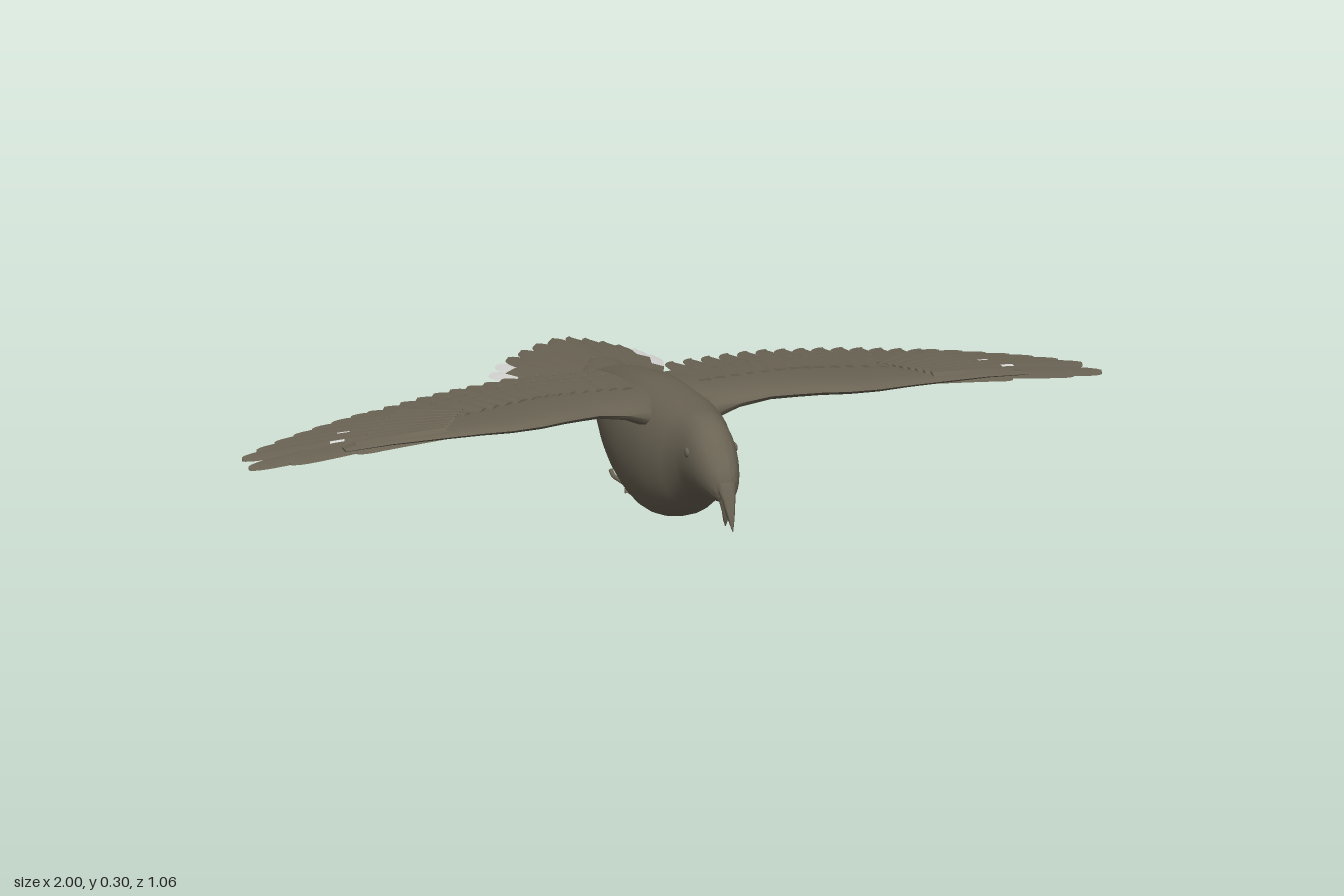
import * as THREE from 'three';
import { mergeGeometries, toCreasedNormals } from 'three/addons/utils/BufferGeometryUtils.js';

const plumage = new THREE.MeshStandardMaterial({ color: 0x6a6354 });
plumage.name = 'plumage brown';
const white = new THREE.MeshStandardMaterial({ color: 0xd6d6d4 });
white.name = 'feather white';

const V = (x, y, z) => new THREE.Vector3(x, y, z);
const lerp = THREE.MathUtils.lerp;

// Piecewise linear lookup in a table of [x, value]
function table(rows, x) {
  for (let i = 1; i < rows.length; i++) {
    const [x0, v0] = rows[i - 1], [x1, v1] = rows[i];
    if (x <= x1 || i === rows.length - 1) return lerp(v0, v1, (x - x0) / (x1 - x0));
  }
}

// Closed skin through rings of points, always turned outwards
function loft(rings, crease = 1) {
  const n = rings[0].length, pos = [], idx = [];
  let volume = 0;
  rings.forEach(r => r.forEach(p => pos.push(p)));
  const tri = (a, b, c) => {
    idx.push(a, b, c);
    volume += pos[a].dot(pos[b].clone().cross(pos[c]));
  };
  const centre = ring => ring.reduce((s, p) => s.add(p), V(0, 0, 0)).divideScalar(n);
  const first = pos.push(centre(rings[0])) - 1;
  const last = pos.push(centre(rings[rings.length - 1])) - 1;
  const end = (rings.length - 1) * n;
  for (let j = 0; j < n; j++) {
    const k = (j + 1) % n;
    for (let i = 0; i < end; i += n) {
      tri(i + j, i + k, i + n + j);
      tri(i + k, i + n + k, i + n + j);
    }
    tri(first, k, j);
    tri(last, end + j, end + k);
  }
  if (volume < 0) idx.reverse();
  const g = new THREE.BufferGeometry().setFromPoints(pos);
  g.setIndex(idx);
  return toCreasedNormals(g, crease);
}

function ellipse(n, point) {
  return Array.from({ length: n }, (_, i) => {
    const a = (i / n) * Math.PI * 2;
    return point(Math.cos(a), Math.sin(a));
  });
}

function add(group, name, geometries, material = plumage) {
  const mesh = new THREE.Mesh(mergeGeometries(geometries), material);
  mesh.name = name;
  group.add(mesh);
}

// Flat rounded blade from a to b; height(x, z) bends it to the wing surface
function feather(a, b, w, { height, t0 = 0, t1 = 1, thick = 0.004, tilt = 0.004 } = {}) {
  const side = V(b.z - a.z, 0, a.x - b.x).normalize();
  if (side.z < 0) side.negate();
  const inner = [0, 0.25, 0.5, 0.7, 0.82, 0.9, 0.95, 0.985, 1].filter(t => t > t0 && t < t1);
  const rings = [t0, ...inner, t1].map(t => {
    const p = a.clone().lerp(b, t);
    if (height) p.y += height(p.x, p.z);
    const round = t > 0.8 ? Math.sqrt(Math.max(0.004, 1 - ((t - 0.8) / 0.2) ** 2)) : 1;
    const hw = w * Math.min(1, 0.55 + 0.7 * t) * round;
    const at = (s, y) => p.clone().addScaledVector(side, s * hw).add(V(0, y - s * tilt, 0));
    const th = thick * Math.max(0.3, round);
    return [at(-1, 0), at(0, th), at(1, 0), at(0, -th)];
  });
  return loft(rings, 0.5);
}

// Upper wing surface
const crest = [[0, 0.285], [0.12, 0.295], [0.3, 0.302], [0.5, 0.292], [0.7, 0.275], [0.85, 0.255], [1, 0.232]];
const wingY = (x, z) => table(crest, Math.abs(x)) - 0.07 * (0.25 - z);
const trailing = [[0.05, -0.1], [0.23, -0.09], [0.44, -0.062], [0.6, -0.025], [0.72, 0.005]];

function makeWing(s, name) {
  const g = new THREE.Group();
  g.name = name;

  // Arm: x, leading z, trailing z, thickness
  const arm = [
    [0.03, 0.2, -0.05, 0.1], [0.08, 0.235, -0.04, 0.09], [0.13, 0.238, -0.02, 0.066], [0.2, 0.246, 0, 0.052],
    [0.25, 0.268, 0.02, 0.048], [0.3, 0.291, 0.04, 0.045], [0.36, 0.306, 0.06, 0.042], [0.43, 0.309, 0.08, 0.038],
    [0.5, 0.301, 0.11, 0.032], [0.6, 0.284, 0.15, 0.024], [0.7, 0.268, 0.19, 0.016], [0.8, 0.25, 0.22, 0.008],
  ];
  add(g, 'wingArm', [loft(arm.map(([x, lead, trail, thick]) => ellipse(18, (c, d) => {
    const u = 0.5 + 0.5 * c, z = lerp(trail, lead, u);
    const h = thick / 2 * (0.2 + 0.8 * u);
    return V(s * x, wingY(x, z) + 0.003 - h * (1 - d), z);
  })), 1.2)]);

  // Primaries fan out from the wrist
  const tips = [[0.92, 0.215], [1, 0.176], [0.985, 0.095], [0.94, 0.066], [0.89, 0.046], [0.84, 0.03],
    [0.79, 0.015], [0.74, 0.003], [0.69, -0.01]];
  const primaries = [], spots = [];
  tips.forEach(([x, z], i) => {
    const a = V(s * (0.57 - 0.012 * i), -0.004 - i * 0.0006, 0.262 - 0.017 * i);
    const b = V(s * x, -0.004 - i * 0.0006, z);
    primaries.push(feather(a, b, 0.026, { height: wingY }));
    if (i === 1 || i === 2 || i === 4) {
      const t = ((i === 4 ? 0.75 : 0.785) - Math.abs(a.x)) / (x - Math.abs(a.x));
      spots.push(feather(a, b, 0.016, { height: wingY, t0: t - 0.035, t1: t + 0.035, thick: 0.0048, tilt: 0.0025 }));
    }
  });
  add(g, 'primaryFeathers', primaries);
  add(g, 'primarySpots', spots, white);

  // Secondaries along the trailing edge, covered by two shorter rows
  const row = (n, x0, x1, lift, back, length, lean, w) => Array.from({ length: n }, (_, i) => {
    const x = lerp(x0, x1, i / (n - 1)), z = table(trailing, x) + back;
    return feather(V(s * x * lean, lift, z + length), V(s * x, lift, z), w, { height: wingY });
  });
  add(g, 'secondaryFeathers', row(14, 0.1, 0.65, -0.006, 0, 0.22, 0.82, 0.03));
  add(g, 'greaterCoverts', row(13, 0.1, 0.6, 0.002, 0.075, 0.14, 0.88, 0.026));
  add(g, 'lesserCoverts', row(12, 0.11, 0.5, 0.004, 0.12, 0.1, 0.9, 0.024));
  add(g, 'underCoverts', row(13, 0.12, 0.62, -0.015, 0.08, 0.16, 0.88, 0.028));

  // Short coverts over the roots of the primaries
  const primaryCoverts = [];
  for (const lift of [0.003, -0.013]) {
    for (let i = 0; i < 8; i++) {
      const f = i / 7;
      primaryCoverts.push(feather(V(s * lerp(0.57, 0.49, f), lift, lerp(0.26, 0.15, f)),
        V(s * lerp(0.77, 0.61, f), lift, lerp(0.232, 0.055, f)), 0.02, { height: wingY }));
    }
  }
  add(g, 'primaryCoverts', primaryCoverts);
  return g;
}

function makeTail() {
  const g = new THREE.Group();
  g.name = 'tail';
  const tips = [[0.022, 0.203, -0.53], [0.06, 0.196, -0.528], [0.098, 0.187, -0.52], [0.132, 0.178, -0.51],
    [0.163, 0.17, -0.495], [0.19, 0.162, -0.465]];
  const brown = [], pale = [];
  for (const s of [1, -1]) {
    tips.forEach(([x, y, z], i) => {
      const a = V(s * (0.01 + 0.009 * i), 0.224 - 0.006 * i, -0.12), b = V(s * x, y, z);
      const split = [1, 1, 1, 1, 0.84, 0.74][i];
      const tilt = 0.003;
      brown.push(feather(a, b, 0.027, { t1: split, tilt }));
      if (split < 1) pale.push(feather(a, b, 0.027, { t0: split, tilt }));
    });
    // Coverts over the tail root
    for (let i = 0; i < 4; i++) {
      brown.push(feather(V(s * (0.01 + 0.012 * i), 0.25 - 0.008 * i, -0.08),
        V(s * (0.015 + 0.022 * i), 0.226 - 0.008 * i, -0.3 + 0.025 * i), 0.022));
    }
  }
  add(g, 'tailFeathers', brown);
  add(g, 'tailTips', pale, white);
  return g;
}

export function createModel() {
  const bird = new THREE.Group();
  bird.name = 'bird';

  // Body and head: z, top, bottom, half width
  const rows = [
    [0.503, 0.165, 0.148, 0.008], [0.495, 0.19, 0.128, 0.022], [0.475, 0.216, 0.122, 0.036], [0.44, 0.252, 0.118, 0.049],
    [0.4, 0.278, 0.114, 0.058], [0.36, 0.29, 0.104, 0.065], [0.32, 0.292, 0.075, 0.078], [0.28, 0.292, 0.044, 0.094],
    [0.22, 0.293, 0.015, 0.108], [0.14, 0.293, 0.001, 0.113], [0.06, 0.29, 0.013, 0.11], [-0.02, 0.28, 0.042, 0.1],
    [-0.1, 0.265, 0.09, 0.083], [-0.18, 0.245, 0.13, 0.062], [-0.28, 0.224, 0.165, 0.042], [-0.36, 0.21, 0.188, 0.02],
  ];
  const outline = new THREE.CatmullRomCurve3(rows.map(r => V(r[0], r[1], r[2])), false, 'catmullrom', 0.5);
  const widths = new THREE.CatmullRomCurve3(rows.map(r => V(r[0], r[3], 0)), false, 'catmullrom', 0.5);
  const rings = Array.from({ length: 61 }, (_, i) => {
    const { x: z, y: top, z: bottom } = outline.getPoint(i / 60), w = widths.getPoint(i / 60).y;
    return ellipse(32, (c, d) => V(w * Math.sign(c) * Math.abs(c) ** 0.85,
      (top + bottom) / 2 + (top - bottom) / 2 * d, z));
  });
  add(bird, 'body', [loft(rings, 1.2)]);

  // Open, down-curved beak: y, centre z, half width, half depth
  const beak = part => loft(part.map(([y, z, w, d]) => ellipse(14, (c, e) => V(w * c, y, z + d * e))), 1.2);
  add(bird, 'upperBeak', [beak([[0.185, 0.482, 0.026, 0.014], [0.16, 0.493, 0.022, 0.014], [0.135, 0.504, 0.016, 0.012],
    [0.105, 0.516, 0.01, 0.009], [0.085, 0.525, 0.005, 0.005], [0.07, 0.531, 0.001, 0.001]])]);
  add(bird, 'lowerBeak', [beak([[0.145, 0.485, 0.02, 0.014], [0.125, 0.489, 0.015, 0.01], [0.105, 0.49, 0.01, 0.007],
    [0.085, 0.487, 0.006, 0.004], [0.07, 0.485, 0.001, 0.001]])]);

  // Eyes
  add(bird, 'eyes', [1, -1].map(s => new THREE.SphereGeometry(0.011, 16, 12).scale(0.5, 1, 1)
    .translate(s * 0.056, 0.218, 0.395)));

  // Tucked feet with clenched toes
  const toes = [];
  for (const s of [1, -1]) {
    const toe = (r, ...pts) => toes.push(new THREE.TubeGeometry(new THREE.CatmullRomCurve3(
      pts.map(([x, y, z]) => V(s * (0.045 + x), y, z))), 8, r, 8));
    toe(0.007, [0, 0.06, 0.01], [0, 0.035, 0.01], [0, 0.026, 0]);
    for (const x of [-0.014, 0, 0.014]) {
      toe(0.005, [0, 0.026, 0.005], [x, 0.036, -0.018], [x * 1.4, 0.04, -0.035], [x * 1.5, 0.05, -0.048]);
    }
    toe(0.005, [0, 0.028, 0.005], [0, 0.024, 0.028], [0, 0.014, 0.02]);
    toe(0.004, [0, 0.028, 0], [0.004, 0.016, 0.002], [0.006, 0.01, 0.012]);
  }
  add(bird, 'feet', toes);

  bird.add(makeWing(1, 'leftWing'), makeWing(-1, 'rightWing'), makeTail());
  return bird;
}
